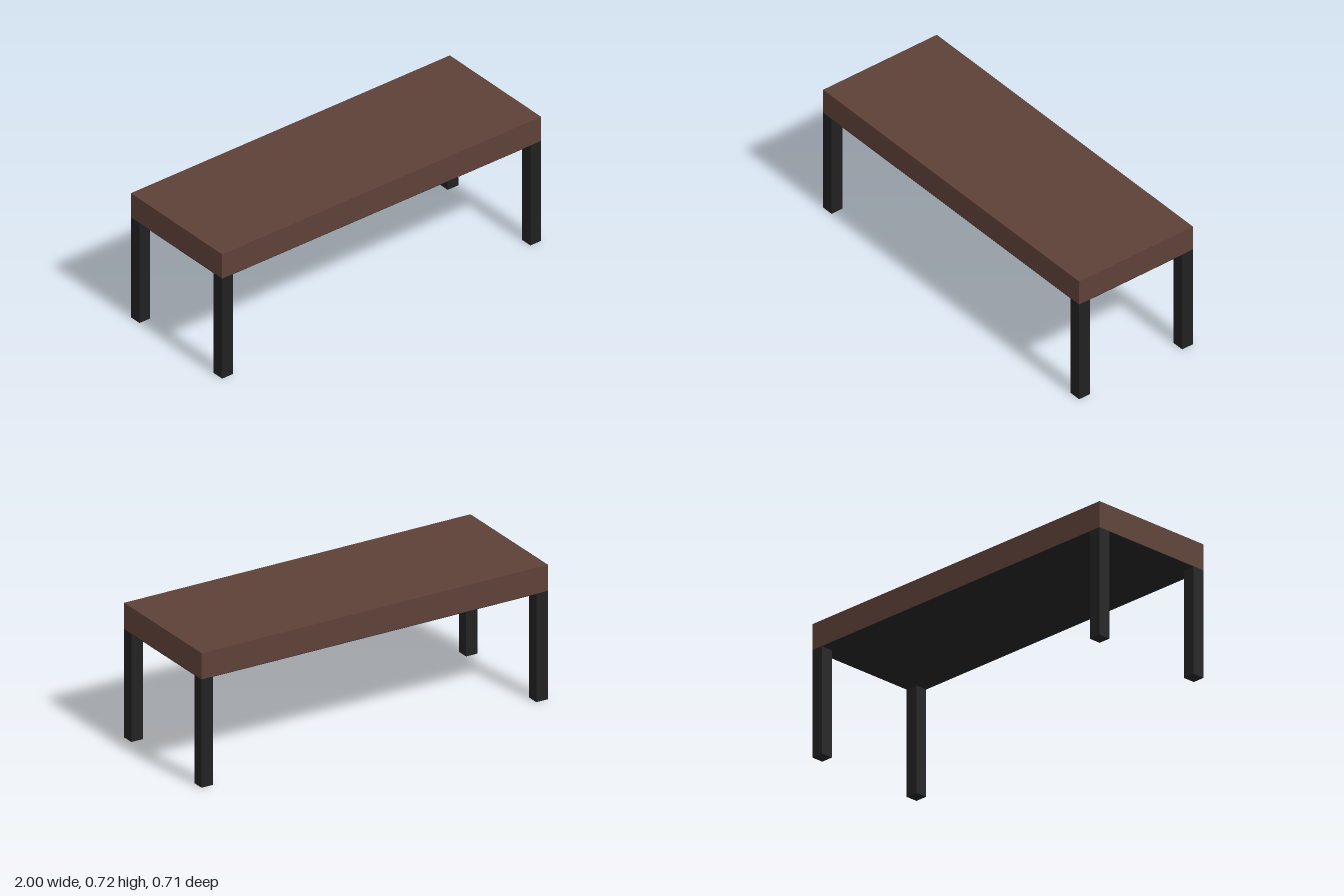
import * as THREE from 'three';

const WIDTH = 2, DEPTH = 0.714, HEIGHT = 0.721, UNDERSIDE = 0.579, LEG = 0.067, PLATE = 0.002;

export function createModel() {
  const model = new THREE.Group();
  model.name = 'bench';
  const wood = new THREE.MeshStandardMaterial({ color: 0x5d4037 });
  const metal = new THREE.MeshStandardMaterial({ color: 0x212121 });

  // Adds a box standing on the given base height
  const addBox = (name, material, w, h, d, x, base, z) => {
    const mesh = new THREE.Mesh(new THREE.BoxGeometry(w, h, d), material);
    mesh.name = name;
    mesh.position.set(x, base + h / 2, z);
    model.add(mesh);
  };

  // Thick wooden top with a thin dark plate below it
  addBox('top', wood, WIDTH, HEIGHT - UNDERSIDE - PLATE, DEPTH, 0, UNDERSIDE + PLATE, 0);
  addBox('undersidePlate', metal, WIDTH, PLATE, DEPTH, 0, UNDERSIDE, 0);

  // Four square legs flush with the corners
  for (const [xName, sx] of [['Left', 1], ['Right', -1]]) {
    for (const [zName, sz] of [['front', 1], ['back', -1]]) {
      addBox(`${zName}${xName}Leg`, metal, LEG, UNDERSIDE, LEG,
        sx * (WIDTH - LEG) / 2, 0, sz * (DEPTH - LEG) / 2);
    }
  }
  return model;
}
